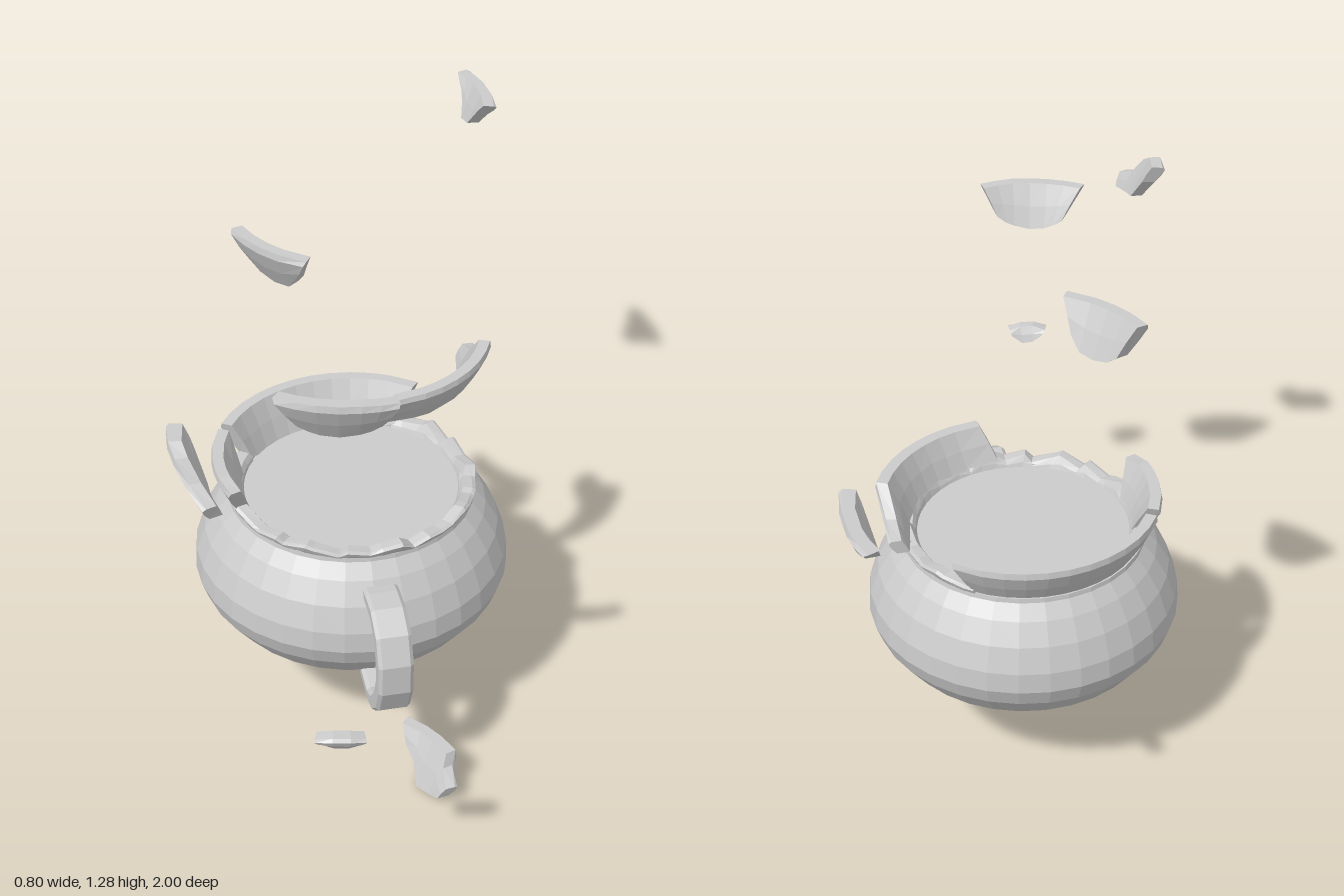
import * as THREE from 'three';

const RIM_Y = 0.735, POT_Z = 0.02;
const material = new THREE.MeshStandardMaterial({ color: 0xcccccc, flatShading: true, side: THREE.DoubleSide });
const lerp = THREE.MathUtils.lerp;

function add(parent, name, geometry) {
  const mesh = new THREE.Mesh(geometry, material);
  mesh.name = name;
  parent.add(mesh);
  return mesh;
}

// Radii of the flared rim at a depth d below the lip
const outerR = d => 0.357 - 0.45 * d;
const innerR = d => 0.315 - 0.4 * d;

// Solid piece of the rim. Stations run along the rim:
// [angle at top, angle at bottom, depth of top, depth of bottom], angles in degrees from +z to +x
function shardGeometry(stations, jag = 0.008, step = 9) {
  const rows = [];
  stations.forEach((s, i) => {
    const next = stations[i + 1];
    if (!next) return rows.push(s);
    const n = Math.max(1, Math.round(Math.abs(next[0] - s[0]) / step));
    for (let k = 0; k < n; k++) {
      const row = s.map((v, c) => lerp(v, next[c], k / n));
      if (k) row[3] += jag * Math.sin(row[0] * 1.7 + k * 2.3);
      rows.push(row);
    }
  });
  // cross-section: [fraction of depth, outer side?, radius offset]
  const section = [[1, 1, -0.006], [0.55, 1, 0], [0.15, 1, 0], [0, 1, -0.01],
    [0, 0, 0.004], [0.5, 0, 0], [1, 0, 0]];
  const m = section.length, pos = [], idx = [];
  for (const [a0, a1, d0, d1] of rows) {
    for (const [f, out, offset] of section) {
      const a = THREE.MathUtils.degToRad(lerp(a0, a1, f)), d = lerp(d0, d1, f);
      const r = (out ? outerR(d) : innerR(d)) + offset;
      pos.push(r * Math.sin(a), -d, r * Math.cos(a));
    }
  }
  for (let i = 0; i < rows.length - 1; i++) {
    for (let k = 0; k < m; k++) {
      const a = i * m + k, b = i * m + (k + 1) % m;
      idx.push(a, a + m, b + m, a, b + m, b);
    }
  }
  const last = (rows.length - 1) * m;
  for (let k = 1; k < m - 1; k++) {
    idx.push(0, k, k + 1, last, last + k + 1, last + k);
  }
  const g = new THREE.BufferGeometry();
  g.setAttribute('position', new THREE.Float32BufferAttribute(pos, 3));
  g.setIndex(idx);
  g.computeVertexNormals();
  return g;
}

function addShard(parent, name, [x, y, z], stations, jag) {
  add(parent, name, shardGeometry(stations, jag)).position.set(x, y, z);
}

// Squat round body with foot ring, closed by the flat surface of its contents
function addBody(parent) {
  const profile = [[0, 0.202], [0.14, 0.202], [0.152, 0.187], [0.183, 0.187], [0.192, 0.212],
    [0.21, 0.216], [0.27, 0.247], [0.335, 0.295], [0.385, 0.362], [0.402, 0.41], [0.398, 0.465],
    [0.375, 0.53], [0.342, 0.585], [0.312, 0.62], [0.31, 0.632], [0.275, 0.632], [0.275, 0.625], [0, 0.625]];
  const g = new THREE.LatheGeometry(profile.map(p => new THREE.Vector2(...p)), 32);
  add(parent, 'body', g).position.z = POT_Z;
}

// Flat strap handle
function addHandle(parent) {
  const outline = [[0.32, 0.562], [0.38, 0.57], [0.44, 0.57], [0.5, 0.536], [0.53, 0.47], [0.53, 0.39],
    [0.5, 0.318], [0.455, 0.278], [0.405, 0.266], [0.32, 0.28], [0.33, 0.3], [0.4, 0.288], [0.44, 0.303],
    [0.48, 0.35], [0.503, 0.41], [0.498, 0.47], [0.475, 0.515], [0.435, 0.545], [0.38, 0.548], [0.33, 0.54]];
  const g = new THREE.ExtrudeGeometry(new THREE.Shape(outline.map(p => new THREE.Vector2(...p))), {
    depth: 0.068, bevelSize: 0.007, bevelThickness: 0.009, bevelSegments: 1,
  });
  g.translate(0, 0, -0.034);
  g.rotateY(THREE.MathUtils.degToRad(14 - 90));
  add(parent, 'handle', g).position.z = POT_Z;
}

export function createModel() {
  const model = new THREE.Group();
  model.name = 'brokenPot';
  addBody(model);
  addHandle(model);

  // Rim pieces still standing on the neck
  const neck = [0, RIM_Y, POT_Z];
  addShard(model, 'leftRim', neck, [[-102, -94, 0, 0.1], [-80, -80, 0, 0.11], [-66, -66, 0, 0.11], [-56, -64, 0.01, 0.1]]);
  addShard(model, 'backRim', neck, [[-208, -202, 0, 0.1], [-195, -195, 0, 0.11], [-115, -115, 0, 0.11], [-106, -110, 0, 0.1]], 0);

  // Jagged break around the rest of the neck
  const jagged = [];
  for (let a = -110, i = 0; a <= 160; a += 7.5, i++) {
    const standing = a < -62 || a > 148;
    const spike = Math.abs(a - 70) < 5 ? -0.022 : 0;
    const top = standing ? 0.09 : 0.086 + 0.011 * Math.sin(i * 2.4) + 0.006 * Math.sin(i * 5.1) + spike;
    const shift = 2.5 * Math.sin(i * 3.3);
    jagged.push([a + shift, a, top, 0.115]);
  }
  addShard(model, 'brokenEdge', neck, jagged, 0);

  // Pieces thrown off the rim
  const flying = new THREE.Group();
  flying.name = 'flyingShards';
  model.add(flying);
  addShard(flying, 'frontShard', [0, 1.29, 0.305],
    [[-24, -17, 0, 0.085], [-8, -8, 0, 0.105], [8, 8, 0, 0.1], [22, 17, 0.004, 0.075]]);
  addShard(flying, 'frontRightShard', [0.01, 1.29, -0.27],
    [[-60, -55, 0, 0.085], [-50, -50, 0, 0.105], [-32, -32, 0, 0.11], [-19, -26, 0, 0.08]]);
  addShard(flying, 'frontLeftShard', [0, 0.915, -0.26],
    [[20, 13, 0, 0.085], [32, 30, 0, 0.09], [65, 65, 0, 0.095], [82, 80, 0, 0.11], [92, 92, 0.065, 0.132], [104, 104, 0.085, 0.12]], 0.004);
  addShard(flying, 'backLeftShard', [0, 1.29, -0.79],
    [[88, 94, 0, 0.04], [100, 100, 0, 0.08], [113, 110, 0, 0.088], [128, 120, 0, 0.03]], 0.004);
  addShard(flying, 'rightShard', [0, 1.29, 0.73],
    [[-91, -88, 0, 0.05], [-80, -80, 0, 0.11], [-74, -74, 0.02, 0.115], [-68, -68, 0.065, 0.12], [-57, -59, 0.09, 0.125]], 0);
  addShard(flying, 'lowShard', [-0.015, 0.13, 0.64],
    [[112, 114, 0.065, 0.1], [120, 119, 0.035, 0.11], [122, 122, 0, 0.115], [132, 132, 0, 0.124], [140, 138, 0, 0.075], [150, 145, 0, 0.045]], 0);
  addShard(flying, 'smallChip', [0, 0.715, 0.665],
    [[-7, -5, 0.06, 0.075], [0, 0, 0.05, 0.092], [7, 6, 0.052, 0.095], [13, 12, 0.06, 0.075]], 0);
  return model;
}
